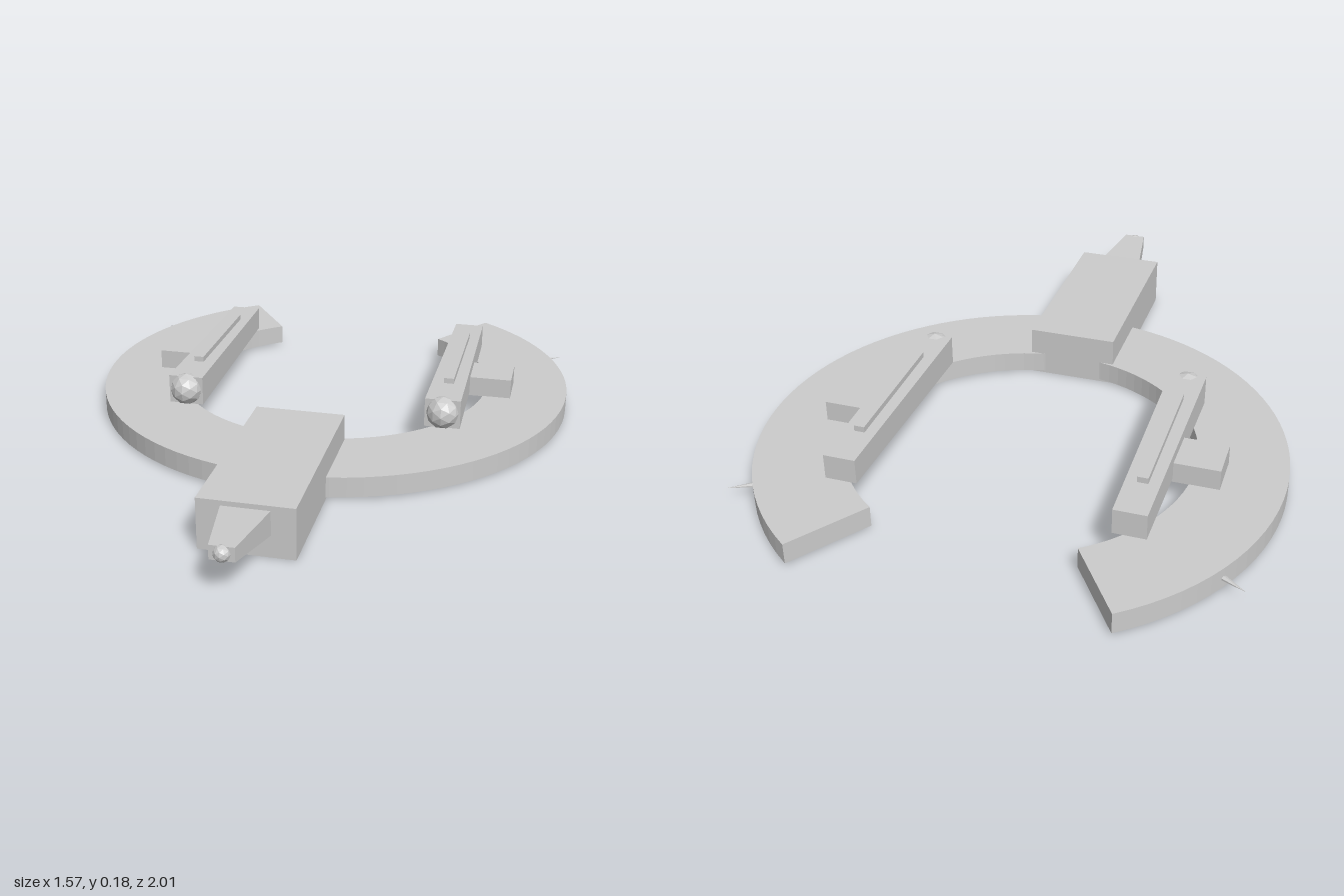
import * as THREE from 'three';

const material = new THREE.MeshStandardMaterial({ color: 0xcccccc, flatShading: true });

function add(parent, name, geometry, x = 0, y = 0, z = 0) {
  const mesh = new THREE.Mesh(geometry, material);
  mesh.name = name;
  mesh.position.set(x, y, z);
  parent.add(mesh);
  return mesh;
}

// Box running along z; the vertices of its front face are moved to the front section
function taperedBox(back, front, zBack, zFront) {
  const g = new THREE.BoxGeometry(1, 1, 1);
  const p = g.attributes.position;
  for (let i = 0; i < p.count; i++) {
    const atFront = p.getZ(i) > 0;
    const s = atFront ? front : back;
    p.setXYZ(i, p.getX(i) * s.width, p.getY(i) > 0 ? s.top : s.bottom, atFront ? zFront : zBack);
  }
  g.computeVertexNormals();
  return g;
}

export function createModel() {
  const model = new THREE.Group();
  model.name = 'ringShip';

  // Open ring hull with a gap at the back
  const gap = THREE.MathUtils.degToRad(35);
  const start = Math.PI / 2 + gap;
  const end = Math.PI * 2.5 - gap;
  const shape = new THREE.Shape();
  shape.absarc(0, 0, 0.785, start, end, false);
  shape.absarc(0, 0, 0.52, end, start, true);
  shape.closePath();
  const ring = new THREE.ExtrudeGeometry(shape, { depth: 0.064, bevelEnabled: false, curveSegments: 40 });
  ring.rotateX(-Math.PI / 2);
  add(model, 'ringHull', ring, 0, 0.007, -0.362);

  // Main body and tapered nose
  add(model, 'mainBody', new THREE.BoxGeometry(0.277, 0.155, 0.615), 0, 0.0775, 0.457);
  add(model, 'nose', taperedBox(
    { width: 0.14, bottom: 0.066, top: 0.14 },
    { width: 0.07, bottom: 0.104, top: 0.146 }, 0.76, 0.978));
  add(model, 'noseTip', new THREE.IcosahedronGeometry(0.024, 1), 0, 0.125, 0.976);

  // Mirrored side equipment
  for (const side of [-1, 1]) {
    const pod = new THREE.Group();
    pod.name = side > 0 ? 'leftPod' : 'rightPod';
    model.add(pod);

    add(pod, 'podBody', taperedBox(
      { width: 0.096, bottom: 0.085, top: 0.162 },
      { width: 0.112, bottom: 0.076, top: 0.169 }, -0.716, 0), side * 0.418);
    add(pod, 'podTip', new THREE.IcosahedronGeometry(0.052, 1), side * 0.418, 0.125, -0.006);
    const rail = add(pod, 'podRail', new THREE.BoxGeometry(0.032, 0.018, 0.44), side * 0.418, 0.174, -0.36);
    rail.rotation.x = -0.008;
    add(pod, 'podBracket', new THREE.BoxGeometry(0.17, 0.064, 0.134), side * 0.52, 0.102, -0.357);

    // Thin spike on the outer rim
    const spike = add(pod, 'rimSpike', new THREE.ConeGeometry(0.014, 0.11, 6), side * 0.7, 0.038, -0.763);
    spike.scale.z = 0.6;
    spike.rotation.set(-Math.PI / 2, 0, -side * THREE.MathUtils.degToRad(60));
  }
  return model;
}
